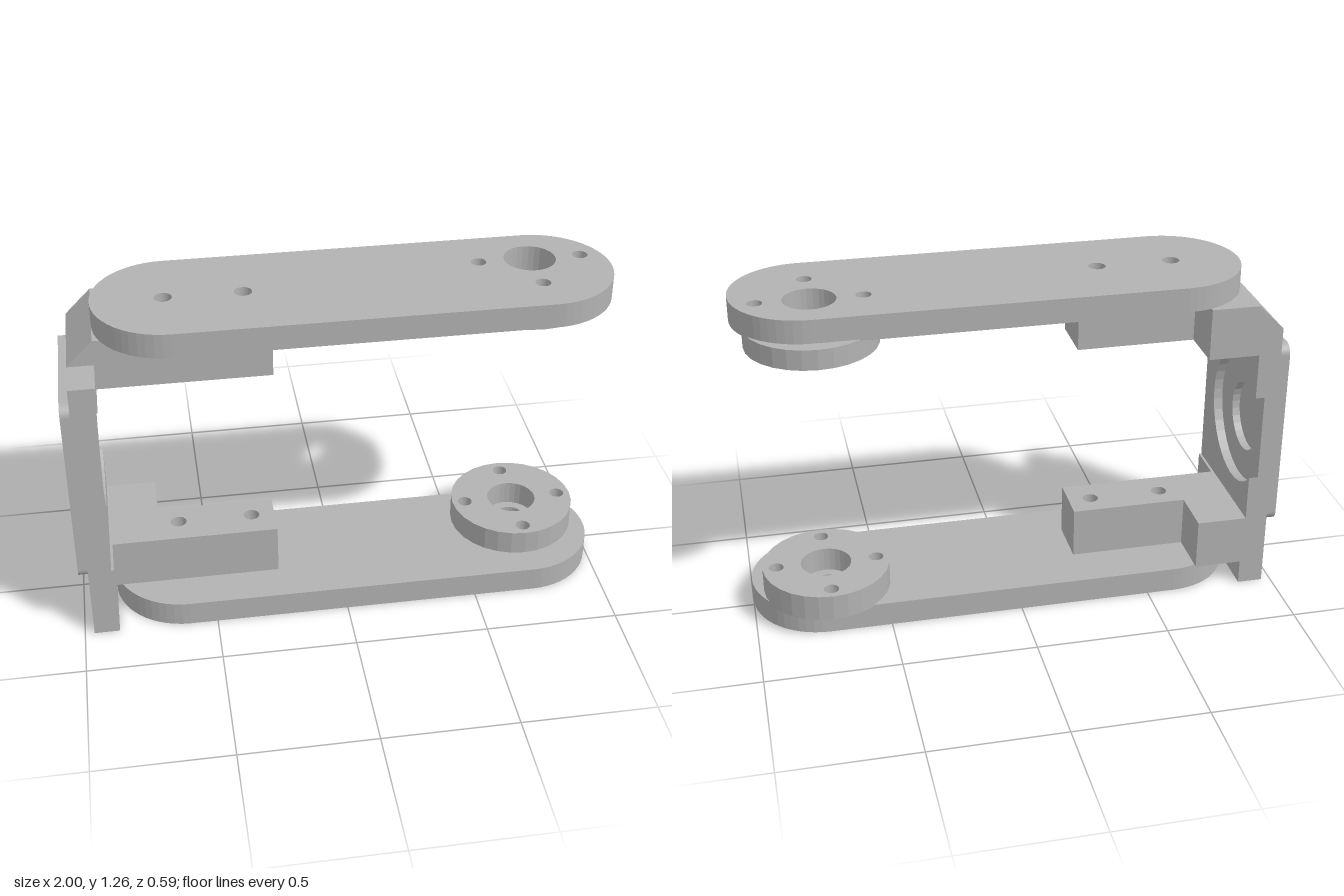
import * as THREE from 'three';

const BACK = -0.24, FRONT = 0.295;          // z limits of the arms and wall
const HUB = [0.72, -0.055];                 // x, z of the pivot axis
const BOLTS = [[0.53, -0.055], [0.908, -0.055], [0.72, 0.133], [0.72, -0.243]];
const SCREWS = [[-0.615, 0.035], [-0.335, 0.035]];

export function createModel() {
  const model = new THREE.Group();
  model.name = 'servoBracket';
  const grey = new THREE.MeshStandardMaterial({ color: 0xb2b2b2 });
  grey.name = 'grey';

  const add = (name, geo) => {
    const mesh = new THREE.Mesh(geo, grey);
    mesh.name = name;
    model.add(mesh);
  };
  const extrude = (shape, depth) =>
    new THREE.ExtrudeGeometry(shape, { depth, bevelEnabled: false, curveSegments: 14 });
  const polygon = pts => new THREE.Shape(pts.map(p => new THREE.Vector2(...p)));
  const circle = (Type, u, v, r) => new Type().absarc(u, v, r, 0, Math.PI * 2, false);

  // Horizontal slab: plan drawn as (x, -z), raised from y0 to y1, with [x, z, r] holes
  const slab = (name, shape, y0, y1, holes = []) => {
    for (const [x, z, r] of holes) shape.holes.push(circle(THREE.Path, x, -z, r));
    add(name, extrude(shape, y1 - y0).rotateX(-Math.PI / 2).translate(0, y0, 0));
  };
  // Upright layer: outline drawn as (-z, y), running from x0 to x1
  const layer = (name, shape, x0, x1) =>
    add(name, extrude(shape, x1 - x0).rotateY(Math.PI / 2).translate(x0, 0, 0));
  const box = (name, x0, x1, y0, y1, z0, z1) =>
    add(name, new THREE.BoxGeometry(x1 - x0, y1 - y0, z1 - z0)
      .translate((x0 + x1) / 2, (y0 + y1) / 2, (z0 + z1) / 2));
  const sized = (spots, r) => spots.map(([x, z]) => [x, z, r]);

  // Stadium shaped arms
  const armShape = () => {
    const r = (FRONT - BACK) / 2, v = -(FRONT + BACK) / 2;
    const s = new THREE.Shape();
    s.absarc(1 - r, v, r, -Math.PI / 2, Math.PI / 2, false);
    s.absarc(-0.87 + r, v, r, Math.PI / 2, Math.PI * 1.5, false);
    return s;
  };
  slab('lowerArm', armShape(), 0, 0.095,
    [[...HUB, 0.06], ...sized(BOLTS.slice(0, 3), 0.05), ...sized(SCREWS, 0.032)]);
  slab('upperArm', armShape(), 1.173, 1.265,
    [[...HUB, 0.095], ...sized(BOLTS.slice(0, 3), 0.028), ...sized(SCREWS, 0.032)]);

  // Pivot discs
  const disc = () => circle(THREE.Shape, HUB[0], -HUB[1], 0.24);
  slab('lowerDisc', disc(), 0.09, 0.19, [[...HUB, 0.095], ...sized(BOLTS, 0.028)]);
  slab('upperDisc', disc(), 1.103, 1.178, [[...HUB, 0.095]]);

  // L-shaped mounting blocks with screw holes
  for (const [name, y0, y1] of [['lowerBlock', 0.095, 0.29], ['upperBlock', 0.978, 1.173]]) {
    const plan = polygon([[-0.87, -0.14], [-0.247, -0.14], [-0.247, 0.055],
      [-0.69, 0.055], [-0.69, 0.24], [-0.87, 0.24]]);
    slab(name, plan, y0, y1, sized(SCREWS, 0.03));
  }

  // Wall ends, and the chamfer leading to the upper block
  box('wallFoot', -0.965, -0.87, 0, 0.29, BACK, FRONT);
  box('wallHead', -0.965, -0.87, 0.978, 1.077, BACK, FRONT);
  add('wallChamfer', extrude(polygon([[-0.965, 1.077], [-0.87, 1.077], [-0.87, 1.173]]), 0.38)
    .translate(0, 0, BACK));

  // Middle of the wall: stepped circular recess, open at the back edge
  const L = -FRONT, R = -BACK, B = 0.29, T = 0.978, cu = 0.055, cy = 0.635;
  const rect = () => polygon([[L, B], [R, B], [R, T], [L, T]]);
  layer('wallFloor', rect(), -0.965, -0.945);
  const ring = rect();
  ring.holes.push(circle(THREE.Path, cu, cy, 0.133));
  layer('wallInnerRecess', ring, -0.945, -0.915);
  const a = Math.acos((R - cu) / 0.25);
  const bite = new THREE.Shape();
  bite.moveTo(L, B);
  bite.lineTo(R, B);
  bite.absarc(cu, cy, 0.25, -a, a, true);
  bite.lineTo(R, T);
  bite.lineTo(L, T);
  layer('wallOuterRecess', bite, -0.915, -0.88);

  // Rounded outer plate
  const r = 0.04, y0 = 0.265, y1 = 1.005, q = Math.PI / 2;
  const plate = new THREE.Shape();
  [[R - r, y0 + r, -q], [R - r, y1 - r, 0], [L + r, y1 - r, q], [L + r, y0 + r, 2 * q]]
    .forEach(([u, v, s]) => plate.absarc(u, v, r, s, s + q, false));
  layer('outerPlate', plate, -1, -0.965);

  return model;
}
